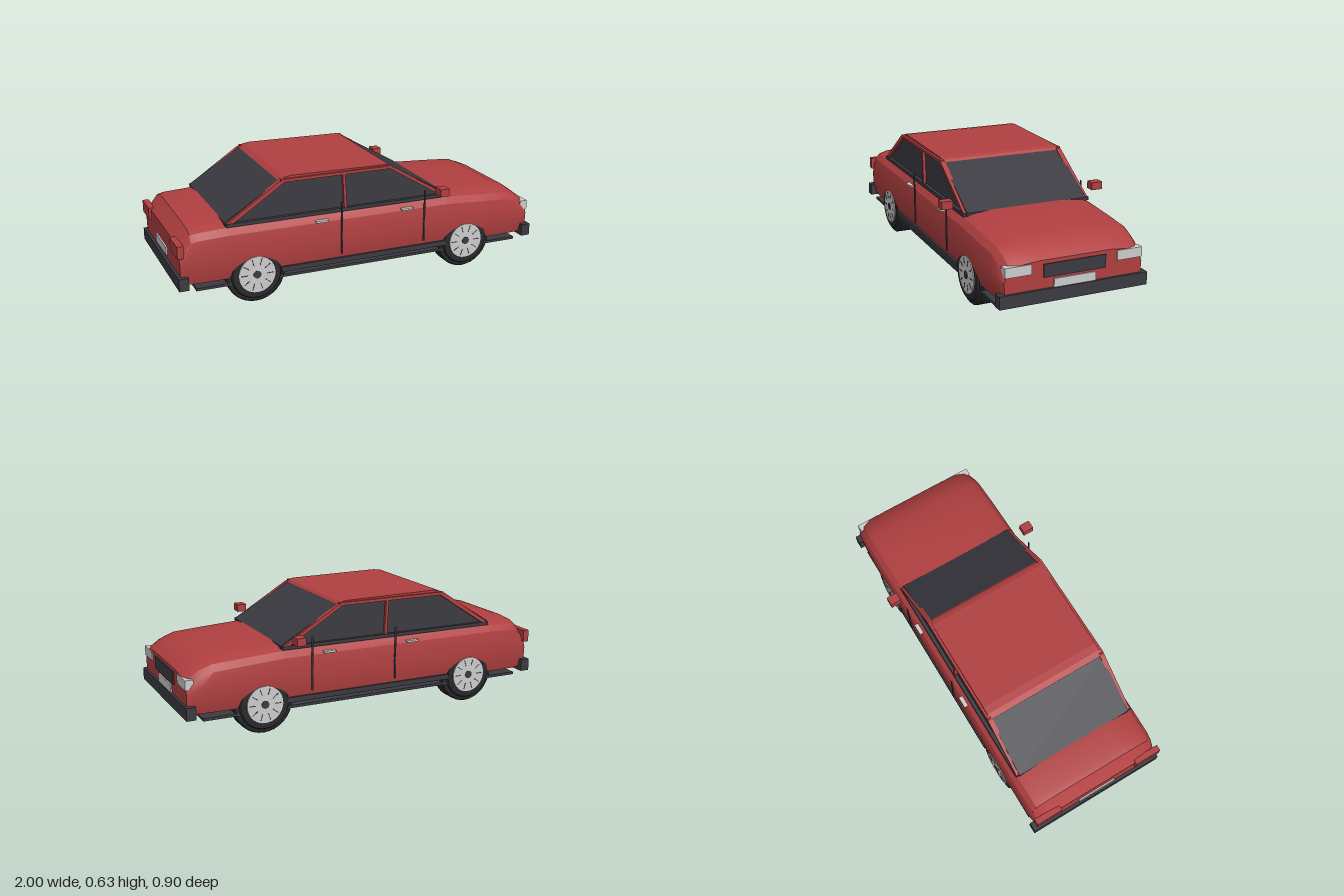
import * as THREE from 'three';
import { toCreasedNormals } from 'three/addons/utils/BufferGeometryUtils.js';

const mat = (name, color) => {
  const m = new THREE.MeshStandardMaterial({ color });
  m.name = name;
  return m;
};

export function createModel() {
  const red = mat('red paint', 0xb03f40);
  const dark = mat('dark trim', 0x3b3a41);
  const black = mat('tyre black', 0x2a2a2d);
  const light = mat('light grey', 0xcccccc);
  const car = new THREE.Group();
  car.name = 'car';

  const add = (name, geo, material, parent = car) => {
    const m = new THREE.Mesh(geo, material);
    m.name = name;
    parent.add(m);
    return m;
  };
  // Box given by its lower and upper limits on each axis
  const box = (name, material, [x0, x1], [y0, y1], [z0, z1]) => {
    const g = new THREE.BoxGeometry(x1 - x0, y1 - y0, z1 - z0);
    g.translate((x0 + x1) / 2, (y0 + y1) / 2, (z0 + z1) / 2);
    return add(name, g, material);
  };
  // The same box on both sides of the car
  const pair = (name, material, x, y, [z0, z1]) => {
    box(name + 'Left', material, x, y, [z0, z1]);
    box(name + 'Right', material, x, y, [-z1, -z0]);
  };
  // Side outline extruded across the car
  const slab = (name, material, pts, z0, z1) => {
    const shape = new THREE.Shape(pts.map(p => new THREE.Vector2(...p)));
    const g = new THREE.ExtrudeGeometry(shape, { depth: z1 - z0, bevelEnabled: false });
    g.translate(0, 0, z0);
    return add(name, g, material);
  };

  // Lower body: rounded cross-sections along x as [x, top height, width factor]
  const stations = [
    [-0.985, 0.35, 0.95], [-0.97, 0.365, 0.965], [-0.925, 0.42, 0.985], [-0.89, 0.428, 0.995],
    [-0.74, 0.435, 1], [0.48, 0.433, 1], [0.7, 0.42, 1], [0.85, 0.41, 0.992],
    [0.92, 0.383, 0.98], [0.965, 0.352, 0.965], [0.987, 0.335, 0.945],
  ];
  const section = (top, w) => {
    const half = [
      [0.2, top], [0.3, top - 0.009], [0.345, top - 0.025], [0.371, top - 0.058],
      [0.383, 0.15 + 0.55 * (top - 0.15)], [0.38, 0.2], [0.366, 0.148],
    ].map(([z, y]) => [z * w, y]);
    return [...half, ...half.map(([z, y]) => [-z, y]).reverse()];
  };
  const pos = [], idx = [];
  const n = 14, last = (stations.length - 1) * n;
  stations.forEach(([x, top, w]) => section(top, w).forEach(([z, y]) => pos.push(x, y, z)));
  for (let i = 0; i < last; i += n) {
    for (let j = 0; j < n; j++) {
      const a = i + j, b = i + (j + 1) % n;
      idx.push(a, b, a + n, b, b + n, a + n);
    }
  }
  for (let j = 1; j < n - 1; j++) {
    idx.push(last, last + j, last + j + 1, 0, j + 1, j);
  }
  const bodyGeo = new THREE.BufferGeometry();
  bodyGeo.setAttribute('position', new THREE.Float32BufferAttribute(pos, 3));
  bodyGeo.setIndex(idx);
  add('body', toCreasedNormals(bodyGeo, 0.45), red);

  // Cabin glass, roof and belt trim
  slab('cabinGlass', dark,
    [[-0.745, 0.4], [0.485, 0.4], [0.485, 0.431], [0.165, 0.612], [-0.46, 0.612], [-0.745, 0.433]], -0.333, 0.333);
  slab('roof', red,
    [[-0.46, 0.61], [0.168, 0.61], [0.155, 0.622], [0.13, 0.629], [-0.39, 0.635], [-0.43, 0.63]], -0.335, 0.335);
  pair('roofRail', red, [-0.45, 0.16], [0.608, 0.623], [0.325, 0.349]);
  pair('beltTrim', dark, [-0.74, 0.48], [0.412, 0.43], [0.325, 0.352]);

  // Screen pillars and centre pillars
  for (const s of [1, -1]) {
    const z0 = s > 0 ? 0.322 : -0.348, z1 = z0 + 0.026;
    slab('frontPillar', red, [[0.44, 0.43], [0.472, 0.43], [0.168, 0.615], [0.135, 0.615]], z0, z1);
    slab('rearPillar', red, [[-0.735, 0.43], [-0.70, 0.43], [-0.42, 0.615], [-0.46, 0.615]], z0, z1);
    slab('centrePillar', red, [[-0.11, 0.425], [-0.095, 0.425], [-0.105, 0.615], [-0.12, 0.615]], z0, z1);
  }

  // Doors, handles, mirrors and sills
  for (const x of [-0.14, 0.335]) pair('doorSeam', dark, [x - 0.004, x + 0.004], [0.195, 0.475], [0.382, 0.388]);
  for (const x of [-0.245, 0.235]) pair('doorHandle', light, [x - 0.032, x + 0.032], [0.38, 0.39], [0.366, 0.388]);
  pair('mirror', red, [0.395, 0.445], [0.45, 0.49], [0.39, 0.45]);
  pair('sill', dark, [-0.47, 0.47], [0.145, 0.172], [0.35, 0.384]);

  // Bumpers and floor
  box('frontBumper', dark, [0.95, 1], [0.13, 0.195], [-0.39, 0.39]);
  box('rearBumper', dark, [-1, -0.95], [0.13, 0.195], [-0.39, 0.39]);
  box('floorPan', dark, [-0.91, 0.91], [0.111, 0.125], [-0.37, 0.37]);

  // Front and rear details
  pair('headlight', light, [0.95, 0.992], [0.275, 0.325], [0.225, 0.36]);
  box('grille', dark, [0.985, 0.993], [0.25, 0.316], [-0.163, 0.163]);
  box('frontPlate', light, [0.985, 0.994], [0.193, 0.238], [-0.11, 0.11]);
  box('rearPlate', light, [-0.993, -0.984], [0.215, 0.262], [-0.11, 0.11]);
  pair('tailLight', red, [-0.998, -0.965], [0.295, 0.36], [0.23, 0.378]);
  box('exhaust', light, [-0.975, -0.93], [0.12, 0.145], [-0.02, 0.02]);

  // Wheels: tyre, rim disc, spoke grooves and hub
  const tyreGeo = toCreasedNormals(new THREE.LatheGeometry([
    [0, 0.278], [0.13, 0.278], [0.155, 0.284], [0.155, 0.358], [0.148, 0.366],
    [0.132, 0.37], [0.126, 0.38], [0.098, 0.381], [0, 0.381],
  ].map(p => new THREE.Vector2(...p)), 32), 0.5).rotateX(Math.PI / 2);
  const disc = (r, z0, z1) =>
    new THREE.CylinderGeometry(r, r, z1 - z0, 32).rotateX(Math.PI / 2).translate(0, 0, (z0 + z1) / 2);
  for (const x of [-0.6, 0.593]) {
    for (const s of [1, -1]) {
      const wheel = new THREE.Group();
      wheel.name = (x > 0 ? 'front' : 'rear') + 'Wheel' + (s > 0 ? 'Left' : 'Right');
      wheel.position.set(x, 0.155, 0);
      wheel.rotation.y = s > 0 ? 0 : Math.PI;
      add('tyre', tyreGeo, black, wheel);
      add('rim', disc(0.096, 0.37, 0.386), light, wheel);
      add('hub', disc(0.02, 0.37, 0.389), dark, wheel);
      for (let k = 0; k < 10; k++) {
        const g = new THREE.BoxGeometry(0.035, 0.004, 0.004);
        g.translate(0.068, 0, 0.3855).rotateZ(k * Math.PI / 5);
        add('spokeGroove', g, dark, wheel);
      }
      car.add(wheel);
    }
  }
  return car;
}
